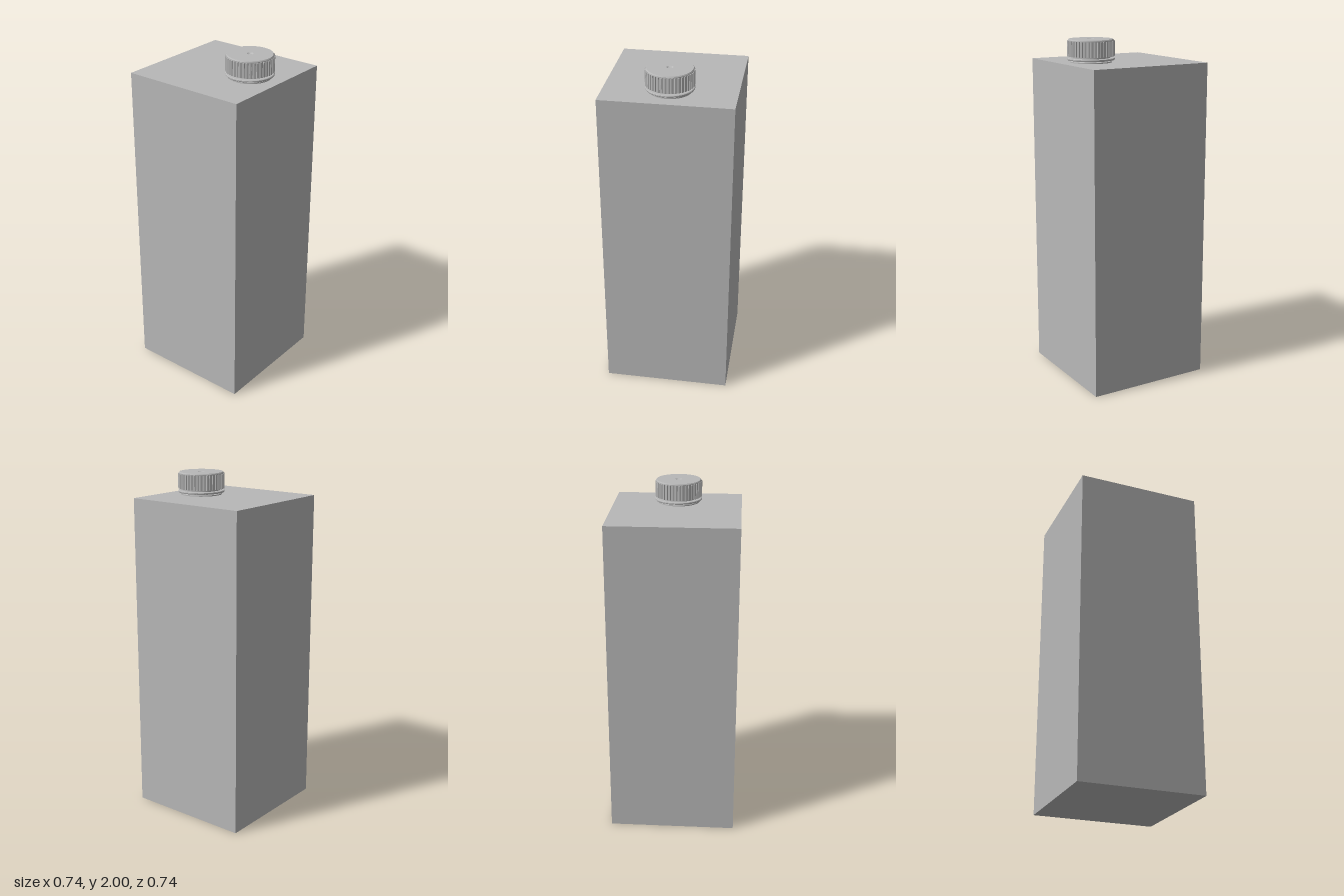
import * as THREE from 'three';
import { toCreasedNormals } from 'three/addons/utils/BufferGeometryUtils.js';

export function createModel() {
  const model = new THREE.Group();
  model.name = 'carton';
  const grey = new THREE.MeshStandardMaterial({ color: 0xb8b8b8 });
  grey.name = 'plain grey';

  const add = (parent, name, geometry) => {
    const mesh = new THREE.Mesh(geometry, grey);
    mesh.name = name;
    parent.add(mesh);
    return mesh;
  };
  const lathe = (points) => toCreasedNormals(
    new THREE.LatheGeometry(points.map(([r, y]) => new THREE.Vector2(r, y)), 64), 0.5);

  // Tall square carton
  add(model, 'cartonBody', new THREE.BoxGeometry(0.735, 1.87, 0.735)).position.y = 0.935;

  // Closure sits towards the front of the top face
  const closure = new THREE.Group();
  closure.name = 'closure';
  closure.position.set(-0.003, 0, 0.177);
  model.add(closure);

  // Neck and its low flange
  add(closure, 'neck', lathe([
    [0.12, 1.865], [0.12, 1.876], [0.11, 1.879], [0.11, 1.91],
  ]));

  // Tamper ring below the cap
  add(closure, 'tamperRing', lathe([
    [0.11, 1.883], [0.133, 1.883], [0.135, 1.886], [0.135, 1.892], [0.132, 1.895], [0.11, 1.895],
  ]));

  // Cap core with bevelled rim and a small moulding dimple
  add(closure, 'cap', lathe([
    [0.108, 1.903], [0.13, 1.903], [0.13, 1.994], [0.126, 2.0], [0.018, 2.0],
    [0.014, 1.996], [0.011, 1.994], [0, 1.994],
  ]));

  // Grip ribs around the cap
  const ribs = 44;
  const outline = [];
  for (let i = 0; i < ribs; i++) {
    for (const [t, r] of [[0, 0.1295], [0.3, 0.1295], [0.45, 0.135], [0.85, 0.135]]) {
      const a = ((i + t) / ribs) * Math.PI * 2;
      outline.push(new THREE.Vector2(Math.cos(a) * r, Math.sin(a) * r));
    }
  }
  const grip = new THREE.Shape(outline);
  grip.holes.push(new THREE.Path().absarc(0, 0, 0.122, 0, Math.PI * 2, true));
  const gripGeometry = new THREE.ExtrudeGeometry(grip, { depth: 0.085, bevelEnabled: false, curveSegments: 32 });
  gripGeometry.rotateX(-Math.PI / 2);
  add(closure, 'capGripRibs', gripGeometry).position.y = 1.905;

  return model;
}
